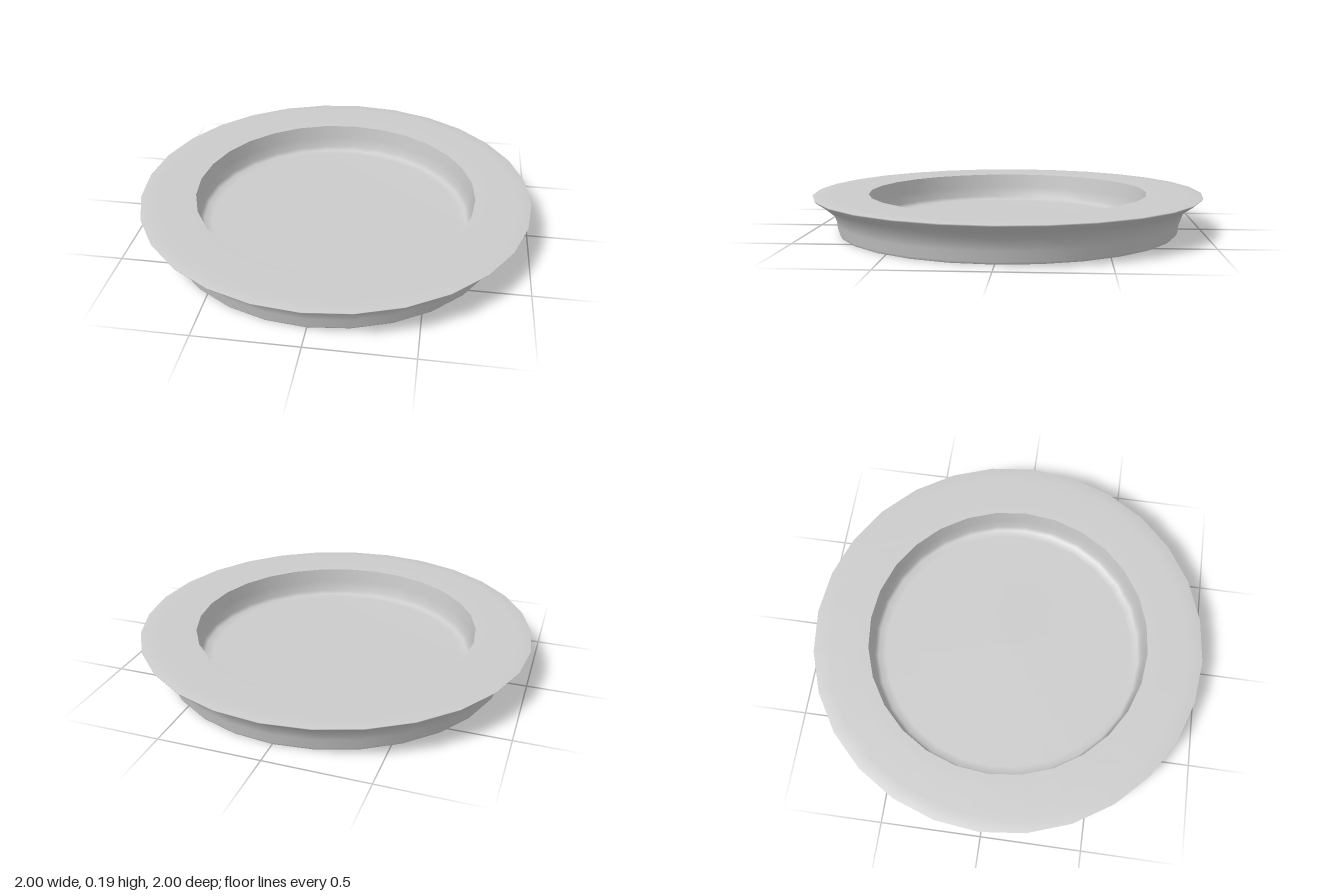
import * as THREE from 'three';

const SIDES = 28;

// Turns a [radius, height] profile into a named, smooth round part
function turned(name, profile) {
  const points = profile.map(([r, y]) => new THREE.Vector2(r, y));
  const material = new THREE.MeshStandardMaterial({ color: 0xcccccc });
  const mesh = new THREE.Mesh(new THREE.LatheGeometry(points, SIDES), material);
  mesh.name = name;
  return mesh;
}

export function createModel() {
  const dish = new THREE.Group();
  dish.name = 'dish';

  // Flat underside
  dish.add(turned('underside', [[0, 0], [0.87, 0]]));

  // Foot that flares out to the lip and rolls over onto the broad rim
  dish.add(turned('flaredRim', [
    [0.87, 0], [0.878, 0.012], [0.885, 0.06], [0.905, 0.115], [0.945, 0.15],
    [0.995, 0.185], [1, 0.193], [0.93, 0.195], [0.78, 0.195], [0.72, 0.193],
  ]));

  // Sunken well with a softly rounded corner at the floor
  dish.add(turned('well', [
    [0.72, 0.193], [0.712, 0.12], [0.705, 0.065], [0.69, 0.047], [0.65, 0.04], [0, 0.04],
  ]));

  return dish;
}
